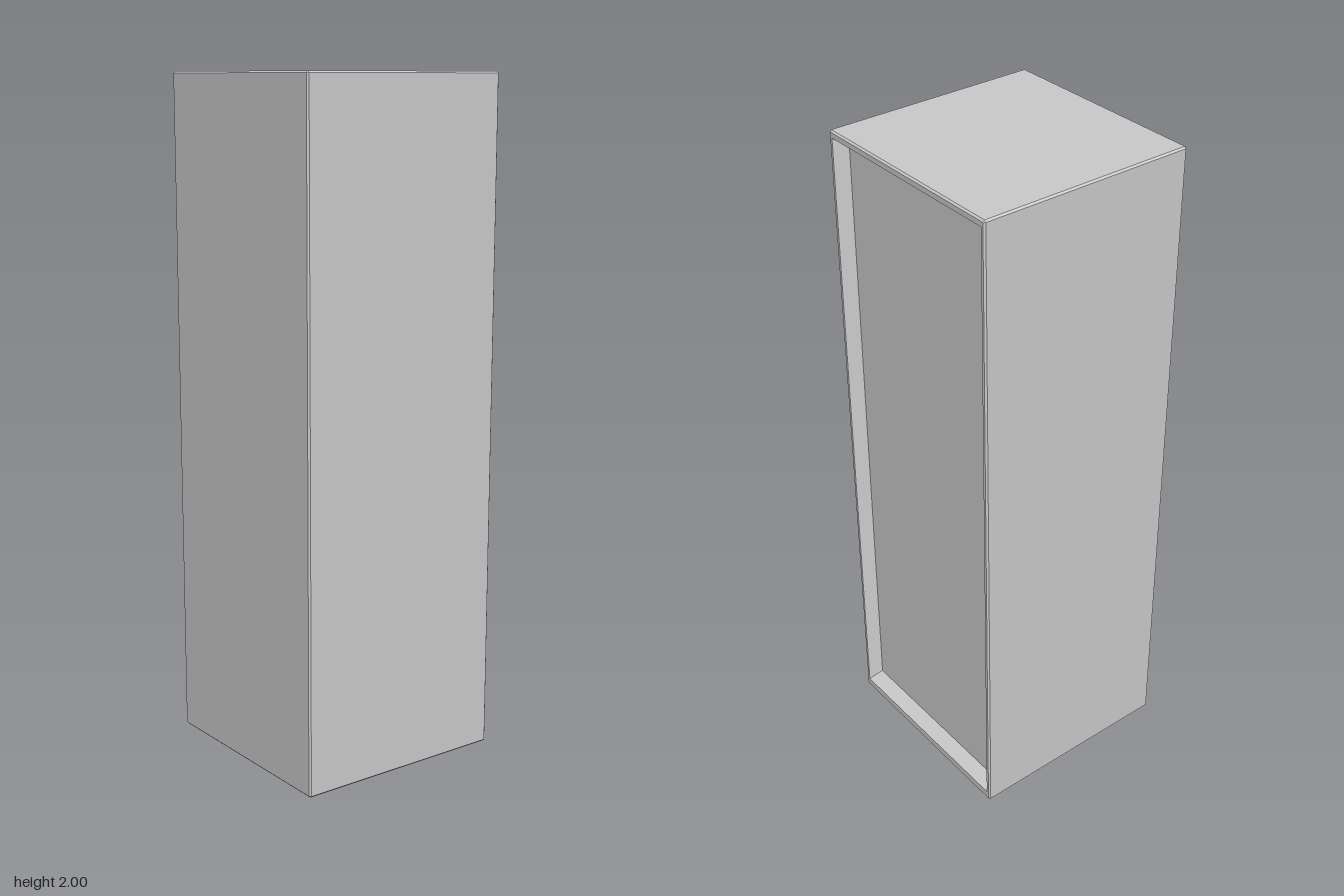
import * as THREE from 'three';

// Eight-cornered rectangle in the y/z plane at a given x; c is the corner chamfer
function ring(x, y0, y1, z, c) {
  return [
    [x, y0, z - c], [x, y0 + c, z], [x, y1 - c, z], [x, y1, z - c],
    [x, y1, -z + c], [x, y1 - c, -z], [x, y0 + c, -z], [x, y0, -z + c],
  ];
}

// Skin between successive rings, optionally capped at the ends
function loft(rings, capStart, capEnd) {
  const pos = [];
  const tri = (a, b, c) => pos.push(...a, ...b, ...c);
  for (let r = 0; r < rings.length - 1; r++) {
    const a = rings[r], b = rings[r + 1];
    for (let i = 0; i < 8; i++) {
      const j = (i + 1) % 8;
      tri(a[i], b[j], b[i]);
      tri(a[i], a[j], b[j]);
    }
  }
  const first = rings[0], last = rings[rings.length - 1];
  for (let i = 1; i < 7; i++) {
    if (capStart) tri(first[0], first[i + 1], first[i]);
    if (capEnd) tri(last[0], last[i], last[i + 1]);
  }
  const g = new THREE.BufferGeometry();
  g.setAttribute('position', new THREE.Float32BufferAttribute(pos, 3));
  g.computeVertexNormals();
  return g;
}

export function createModel() {
  const group = new THREE.Group();
  group.name = 'cabinet';
  const material = new THREE.MeshStandardMaterial({ color: 0xcccccc, flatShading: true, side: THREE.DoubleSide });
  const add = (name, geometry) => {
    const mesh = new THREE.Mesh(geometry, material);
    mesh.name = name;
    group.add(mesh);
  };

  const h = 0.331, b = 0.005; // half width and edge bevel
  const rim = ring(h, b, 2 - b, h - b, 0.001);
  const opening = ring(h, 0.028, 1.98, 0.318, 0.001);
  const floor = ring(h - 0.04, 0.056, 1.952, 0.299, 0.001);

  // Bevelled outer shell, closed on the left side
  add('shell', loft([
    ring(-h, b, 2 - b, h - b, 0.001),
    ring(-h + b, 0, 2, h, b),
    ring(h - b, 0, 2, h, b),
    rim,
  ], true, false));

  // Narrow frame around the right side
  add('rim', loft([rim, opening], false, false));

  // Sunken panel with sloping walls
  add('recessedPanel', loft([opening, floor], false, false));
  add('panelFace', loft([floor], false, true));

  return group;
}
